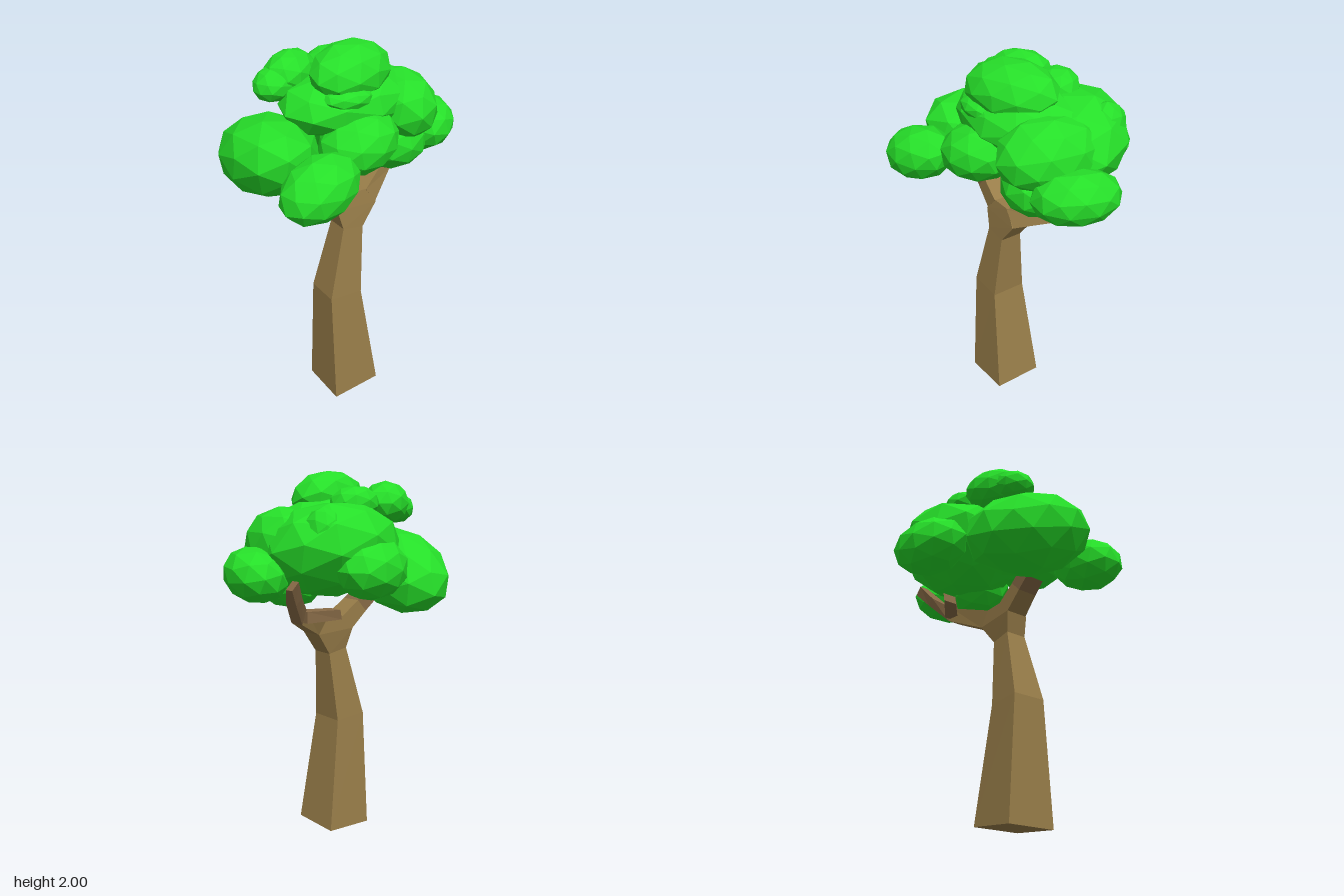
import * as THREE from 'three';

const bark = new THREE.MeshStandardMaterial({ color: 0x987d49 });
bark.name = 'bark';
const branchBark = new THREE.MeshStandardMaterial({ color: 0x886b47 });
branchBark.name = 'branch bark';
const leaves = new THREE.MeshStandardMaterial({ color: 0x26df29 });
leaves.name = 'leaves';

// Four-sided limb; each ring is [xa, ya, xb, yb, zBack, zFront]
function limb(name, material, rings) {
  const pos = [], index = [];
  for (const [xa, ya, xb, yb, z0, z1] of rings) {
    pos.push(xa, ya, z1, xb, yb, z1, xb, yb, z0, xa, ya, z0);
  }
  for (let r = 0; r < rings.length - 1; r++) {
    for (let i = 0; i < 4; i++) {
      const a = r * 4 + i, b = r * 4 + (i + 1) % 4;
      index.push(a, b, b + 4, a, b + 4, a + 4);
    }
  }
  const t = (rings.length - 1) * 4;
  index.push(0, 2, 1, 0, 3, 2, t, t + 1, t + 2, t, t + 2, t + 3);
  const indexed = new THREE.BufferGeometry();
  indexed.setAttribute('position', new THREE.Float32BufferAttribute(pos, 3));
  indexed.setIndex(index);
  const geo = indexed.toNonIndexed(); // separate faces give flat shading
  geo.computeVertexNormals();
  const mesh = new THREE.Mesh(geo, material);
  mesh.name = name;
  return mesh;
}

// Faceted ellipsoid of foliage
function clump(name, [x, y, z], [rx, ry, rz], [ax, ay, az] = [0, 0, 0]) {
  const geo = new THREE.IcosahedronGeometry(1.03, 1);
  geo.scale(rx, ry, rz);
  geo.computeVertexNormals();
  const mesh = new THREE.Mesh(geo, leaves);
  mesh.name = name;
  mesh.position.set(x, y, z);
  mesh.rotation.set(ax, ay, az);
  return mesh;
}

export function createModel() {
  const tree = new THREE.Group();
  tree.name = 'tree';

  // Bent trunk widening into the fork
  tree.add(limb('trunk', bark, [
    [-0.2, 0, 0.08, 0.025, -0.06, 0.215],
    [-0.2, 0.66, -0.01, 0.65, -0.015, 0.175],
    [-0.1, 1.05, 0.02, 1.03, 0.02, 0.14],
    [-0.13, 1.16, 0.11, 1.15, 0.0, 0.13],
    [-0.06, 1.235, 0.05, 1.235, 0.0, 0.12],
  ]));

  // Branches
  tree.add(limb('rightBranch', bark, [
    [-0.13, 1.16, -0.06, 1.235, 0.0, 0.125],
    [-0.23, 1.245, -0.17, 1.31, 0.0, 0.115],
  ]));
  tree.add(limb('rightBranchTip', branchBark, [
    [-0.23, 1.245, -0.17, 1.31, 0.0, 0.115],
    [-0.3, 1.3, -0.22, 1.35, 0.0, 0.11],
  ]));
  tree.add(limb('leftBranch', bark, [
    [0.05, 1.235, 0.11, 1.15, 0.0, 0.125],
    [0.27, 1.31, 0.3, 1.24, -0.1, -0.01],
  ]));
  tree.add(limb('leftBranchTip', branchBark, [
    [0.27, 1.31, 0.3, 1.24, -0.1, -0.01],
    [0.36, 1.39, 0.4, 1.36, -0.18, -0.1],
    [0.42, 1.48, 0.46, 1.44, -0.23, -0.18],
  ]));
  tree.add(limb('twig', branchBark, [
    [0.29, 1.25, 0.29, 1.31, -0.13, -0.04],
    [0.15, 1.27, 0.16, 1.32, -0.23, -0.15],
  ]));

  // Crown
  const crown = new THREE.Group();
  crown.name = 'crown';
  crown.add(
    clump('mainClump', [0.14, 1.61, -0.13], [0.35, 0.23, 0.34], [0.25, 0, 0]),
    clump('rightClump', [-0.405, 1.47, -0.07], [0.24, 0.205, 0.36], [-0.3, -0.2, -0.2]),
    clump('frontRightClump', [-0.38, 1.46, 0.375], [0.21, 0.14, 0.155], [0, 0.2, 0.3]),
    clump('frontClump', [-0.06, 1.555, 0.21], [0.21, 0.145, 0.18], [0, 0.15, 0.22]),
    clump('leftClump', [0.485, 1.495, 0.03], [0.16, 0.135, 0.215], [0, -0.4, 0.3]),
    clump('frontLeftClump', [0.29, 1.64, 0.04], [0.19, 0.18, 0.27], [0, -0.15, -0.2]),
    clump('lowerLeftClump', [0.24, 1.46, 0.07], [0.19, 0.15, 0.18]),
    clump('backClump', [0.08, 1.53, -0.37], [0.23, 0.15, 0.16], [0, 0.35, 0]),
    clump('upperClump', [0.01, 1.71, 0.01], [0.38, 0.16, 0.25], [0.1, 0.15, 0]),
    clump('topClump', [0.0, 1.857, 0.055], [0.25, 0.138, 0.165], [0.35, 0.35, -0.1]),
    clump('smallRightClump', [-0.33, 1.81, -0.11], [0.12, 0.08, 0.1], [0, 0.5, 0.2]),
    clump('tallRightClump', [-0.22, 1.835, -0.15], [0.17, 0.11, 0.12], [0, 0.6, 0]),
    clump('smallBackClump', [0.03, 1.83, -0.18], [0.13, 0.09, 0.12], [0.2, 0, 0]),
    clump('smallFrontClump', [-0.09, 1.77, 0.15], [0.14, 0.06, 0.11]),
    clump('smallBackLeftClump', [0.31, 1.71, -0.28], [0.09, 0.11, 0.1]),
  );
  tree.add(crown);
  return tree;
}
